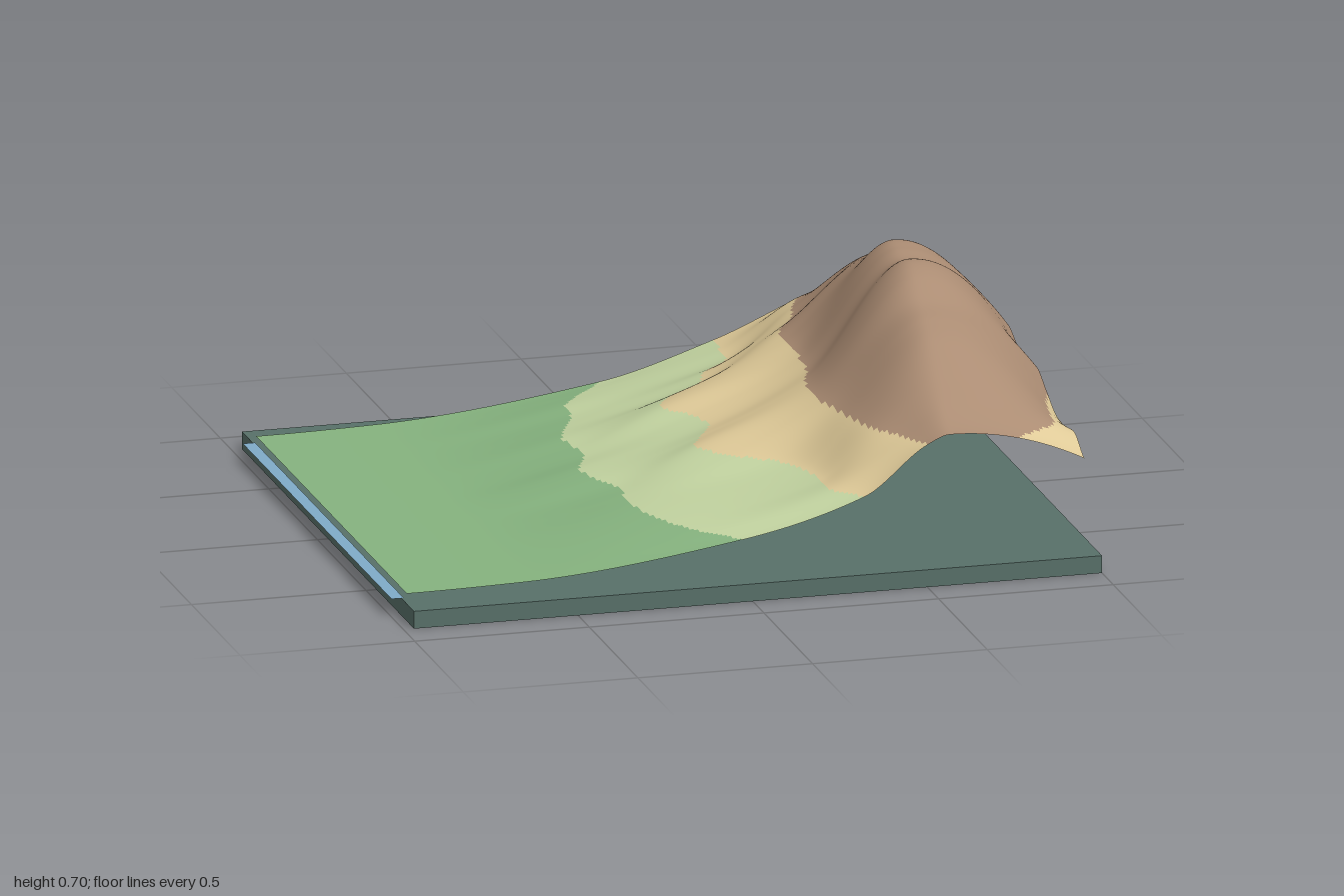
import * as THREE from 'three';

// Terrain extents and the x of its edges
const WEST = -0.96, EAST = 0.98, DEPTH = 0.775;
const NX = 190, NZ = 150;

// Cross-section data at evenly spaced stations from back (-z) to front (+z)
const STATIONS = {
  hillX: [0.02, -0.06, -0.13, -0.14, -0.18, -0.22, -0.21, -0.21, -0.25, -0.24, -0.2, -0.2, -0.2, -0.18, -0.14, -0.08, 0],
  slopeX: [0.35, 0.34, 0.33, 0.24, 0.2, 0.09, 0.04, 0.1, 0.12, 0.07, 0.03, 0.1, 0.21, 0.26, 0.28, 0.28, 0.35],
  mountainX: [0.7, 0.57, 0.52, 0.49, 0.43, 0.42, 0.42, 0.41, 0.4, 0.37, 0.355, 0.36, 0.38, 0.4, 0.43, 0.49, 0.53],
  ridgeY: [0.385, 0.42, 0.5, 0.545, 0.575, 0.615, 0.67, 0.675, 0.67, 0.7, 0.685, 0.635, 0.61, 0.575, 0.51, 0.44, 0.4],
  eastY: [0.345, 0.335, 0.345, 0.38, 0.42, 0.41, 0.42, 0.445, 0.455, 0.42, 0.405, 0.42, 0.38, 0.34, 0.335, 0.345, 0.3],
};

// Height bands: each starts where the one before ends
const BANDS = [
  { name: 'coastalPlain', top: 0.145, color: 0x86b37f },
  { name: 'lowHills', top: 0.24, color: 0xc2d3a0 },
  { name: 'upperSlopes', top: 0.375, color: 0xdfca98 },
  { name: 'mountains', top: Infinity, color: 0xab8c73 },
];

// Smooth value of a station list at t in 0..1
function sample(list, t) {
  const f = t * (list.length - 1);
  const i = Math.min(Math.floor(f), list.length - 2);
  const u = f - i;
  const at = (k) => list[Math.max(0, Math.min(list.length - 1, k))];
  const a = at(i), b = at(i + 1);
  const ma = (b - at(i - 1)) / 2, mb = (at(i + 2) - a) / 2;
  return hermite(a, b, ma, mb, u);
}

function hermite(a, b, ma, mb, u) {
  const s = u * u * (3 - 2 * u);
  return a + (b - a) * s + ma * u * (1 - u) * (1 - u) - mb * u * u * (1 - u);
}

// West-to-east height function at one z: monotone rise to the ridge, parabolic fall after it
function section(t) {
  const z = (2 * t - 1) * DEPTH;
  const ridgeX = 0.68 - 0.11 * z;
  const ridgeY = sample(STATIONS.ridgeY, t);
  const eastY = sample(STATIONS.eastY, t);
  const pts = [
    [WEST, 0.068], [-0.62, 0.074],
    [sample(STATIONS.hillX, t), 0.145],
    [sample(STATIONS.slopeX, t), 0.24],
    [sample(STATIONS.mountainX, t), 0.375],
    [ridgeX, ridgeY],
  ];
  const secant = (i) => (pts[i + 1][1] - pts[i][1]) / (pts[i + 1][0] - pts[i][0]);
  const slopes = pts.map((p, i) => {
    if (i === 0 || i === pts.length - 1) return 0;
    const a = secant(i - 1), b = secant(i);
    return a * b > 0 ? (2 * a * b) / (a + b) : 0;
  });
  return (x) => {
    if (x >= ridgeX) {
      const u = (x - ridgeX) / (EAST - ridgeX);
      return ridgeY + (eastY - ridgeY) * u * u;
    }
    let i = 0;
    while (i < pts.length - 2 && x > pts[i + 1][0]) i++;
    const w = pts[i + 1][0] - pts[i][0];
    return hermite(pts[i][1], pts[i + 1][1], slopes[i] * w, slopes[i + 1] * w, (x - pts[i][0]) / w);
  };
}

// One smooth sheet, its cells sorted by height into coloured bands
function createTerrain() {
  const sheet = new THREE.PlaneGeometry(EAST - WEST, 2 * DEPTH, NX, NZ);
  sheet.rotateX(-Math.PI / 2);
  sheet.translate((EAST + WEST) / 2, 0, 0);
  const pos = sheet.attributes.position;
  for (let j = 0; j <= NZ; j++) {
    const height = section(j / NZ);
    for (let i = 0; i <= NX; i++) {
      const k = j * (NX + 1) + i;
      pos.setY(k, height(pos.getX(k)));
    }
  }
  sheet.computeVertexNormals();

  const faces = BANDS.map(() => []);
  const index = sheet.index.array;
  for (let c = 0; c < index.length; c += 6) {
    const cell = Array.from(index.slice(c, c + 6));
    const y = (pos.getY(cell[1]) + pos.getY(cell[5])) / 2;
    faces[BANDS.findIndex((b) => y < b.top)].push(...cell);
  }

  const terrain = new THREE.Group();
  terrain.name = 'terrain';
  BANDS.forEach((band, i) => {
    const geometry = new THREE.BufferGeometry();
    geometry.setAttribute('position', pos);
    geometry.setAttribute('normal', sheet.attributes.normal);
    geometry.setIndex(faces[i]);
    const mesh = new THREE.Mesh(geometry, new THREE.MeshStandardMaterial({ color: band.color, side: THREE.DoubleSide }));
    mesh.name = band.name;
    terrain.add(mesh);
  });
  return terrain;
}

export function createModel() {
  const model = new THREE.Group();
  model.name = 'reliefMap';

  // Display base
  const base = new THREE.Mesh(
    new THREE.BoxGeometry(1.97, 0.05, 1.77),
    new THREE.MeshStandardMaterial({ color: 0x587069 }),
  );
  base.name = 'base';
  base.position.set(0.015, 0.025, 0);
  model.add(base);

  // Strip of sea along the west edge
  const sea = new THREE.Mesh(
    new THREE.PlaneGeometry(0.035, 1.53).rotateX(-Math.PI / 2),
    new THREE.MeshStandardMaterial({ color: 0x7fabc8, side: THREE.DoubleSide }),
  );
  sea.name = 'sea';
  sea.position.set(-0.9825, 0.052, -0.003);
  model.add(sea);

  model.add(createTerrain());
  return model;
}
